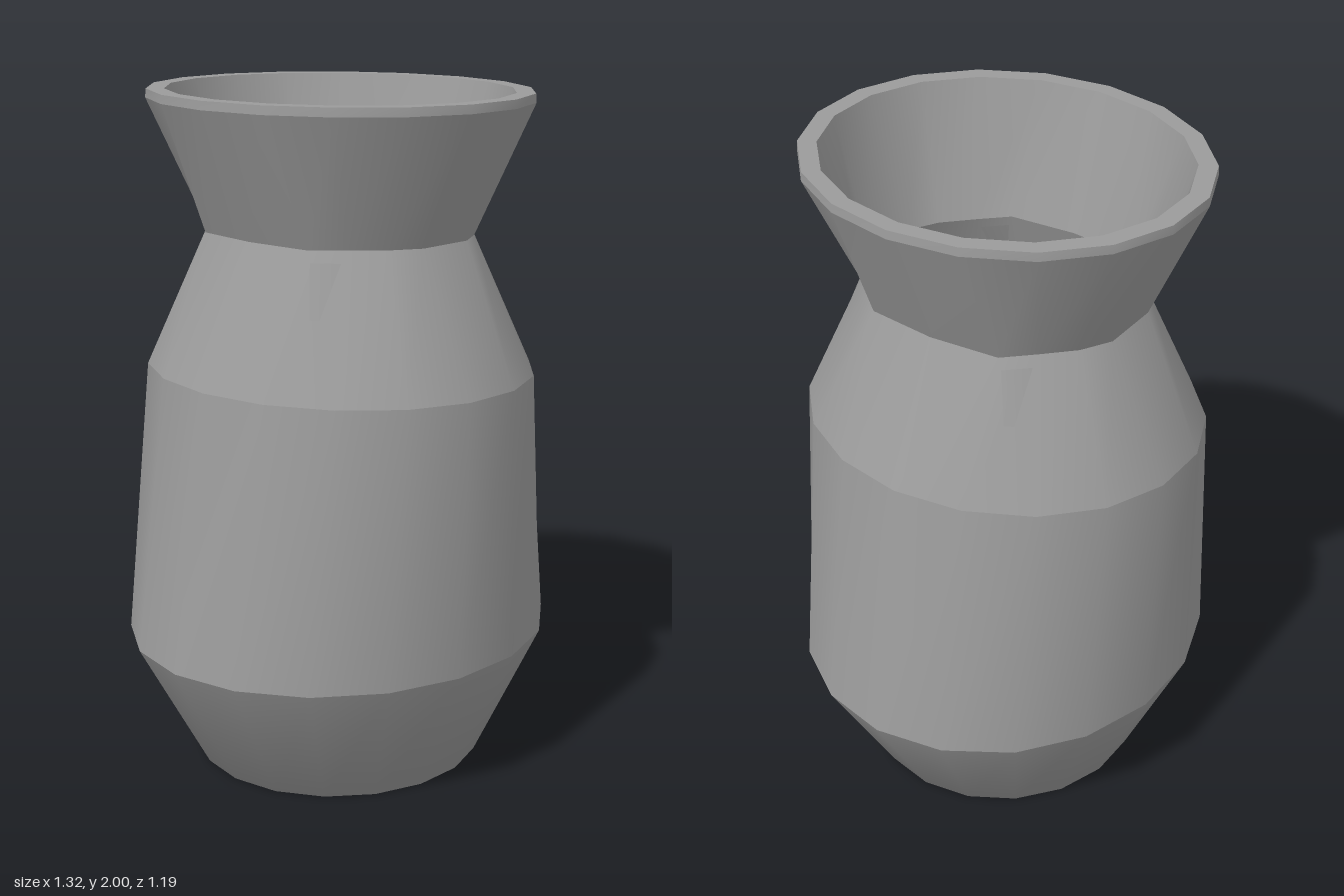
import * as THREE from 'three';

const SIDES = 18;

// Elliptical 18-sided ring at height y
function ring(rx, rz, y) {
  return Array.from({ length: SIDES }, (_, i) => {
    const a = (i / SIDES) * Math.PI * 2;
    return [rx * Math.cos(a), y, rz * Math.sin(a)];
  });
}

// Neck ring: slightly squared off, one quarter mirrored to all four
function neckRing(s, y) {
  const right = [[0.352, 0], [0.332, 0.208], [0.255, 0.288], [0.177, 0.364], [0.09, 0.412]];
  const left = right.map(([x, z]) => [-x, z]).reverse();
  const front = [...right, ...left];
  const back = front.slice(1, -1).reverse().map(([x, z]) => [x, -z]);
  return [...front, ...back].map(([x, z]) => [x * s, y, z * s]);
}

// Skin a stack of rings, smooth inside one band and sharp between bands
function band(name, rings, material) {
  const index = [];
  for (let j = 0; j < rings.length - 1; j++) {
    for (let i = 0; i < SIDES; i++) {
      const n = (i + 1) % SIDES;
      const a = j * SIDES + i, b = j * SIDES + n;
      const c = a + SIDES, d = b + SIDES;
      index.push(a, c, b, b, c, d);
    }
  }
  const geometry = new THREE.BufferGeometry();
  geometry.setAttribute('position', new THREE.Float32BufferAttribute(rings.flat(2), 3));
  geometry.setIndex(index);
  geometry.computeVertexNormals();
  const mesh = new THREE.Mesh(geometry, material);
  mesh.name = name;
  return mesh;
}

export function createModel() {
  const group = new THREE.Group();
  group.name = 'vase';
  const clay = new THREE.MeshStandardMaterial({ color: 0x9b9b9b, side: THREE.DoubleSide });

  // Outer profile, from the foot up
  const foot = ring(0.437, 0.422, 0);
  const belly = ring(0.66, 0.6, 0.4);
  const shoulder = ring(0.535, 0.602, 1.2);
  const neck = neckRing(1, 1.6);
  const lipLow = ring(0.524, 0.587, 1.975);
  const lipTop = ring(0.522, 0.585, 2);

  // Inner profile, from the rim down
  const rimInner = ring(0.472, 0.53, 2);
  const neckInner = neckRing(0.995, 1.6);
  const shoulderInner = ring(0.5, 0.56, 1.2);
  const bellyInner = ring(0.62, 0.56, 0.41);
  const floorInner = ring(0.42, 0.41, 0.03);

  const parts = {
    base: [ring(0, 0, 0), foot, belly],
    body: [belly, shoulder],
    shoulder: [shoulder, neck],
    collar: [neck, lipLow],
    lip: [lipLow, lipTop],
    rim: [lipTop, rimInner],
    collarInside: [rimInner, neckInner],
    shoulderInside: [neckInner, shoulderInner],
    bodyInside: [shoulderInner, bellyInner],
    floorInside: [bellyInner, floorInner, ring(0, 0, 0.03)],
  };
  for (const [name, rings] of Object.entries(parts)) group.add(band(name, rings, clay));
  return group;
}
